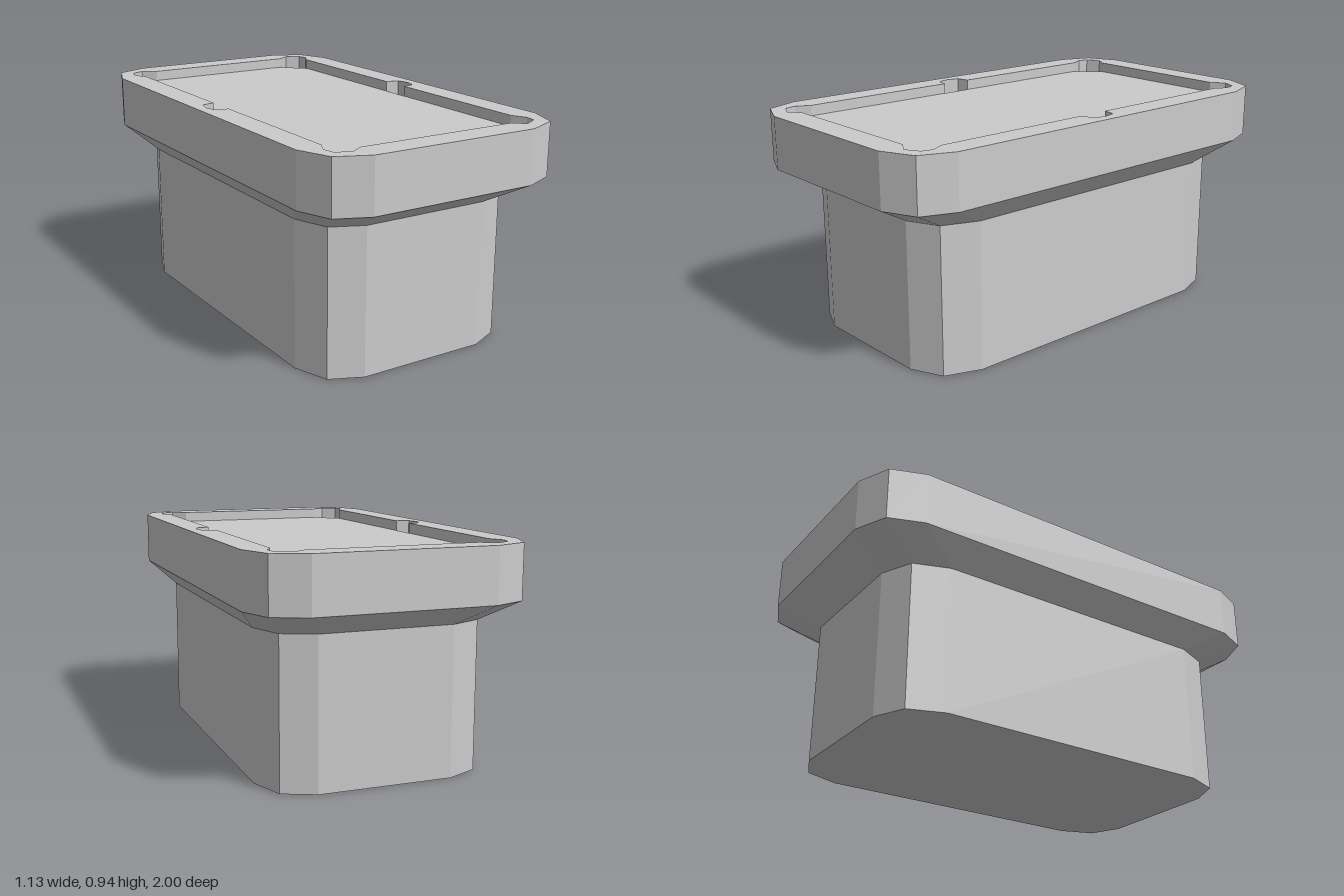
import * as THREE from 'three';

const material = new THREE.MeshStandardMaterial({ color: 0xcccccc, flatShading: true });

// Heights
const NECK = 0.62, RAIL = 0.715, TOP = 0.94, BED = 0.895, POCKET = 0.855;

// Plan points are [x, -z], anticlockwise seen from above.
// Completes a quarter outline (+x, +y quadrant) by mirroring; axis points are kept once.
function fullOutline(quarter) {
  const back = [...quarter].reverse();
  const all = [
    ...quarter,
    ...back.map(([x, y]) => [-x, y]),
    ...quarter.map(([x, y]) => [-x, -y]),
    ...back.map(([x, y]) => [x, -y]),
  ];
  return all.filter((p, i) => {
    const q = all[(i + 1) % all.length];
    return Math.hypot(p[0] - q[0], p[1] - q[1]) > 1e-6;
  });
}

// Mirrors a small polygon and keeps it anticlockwise
function mirrored(points, sx, sy) {
  const out = points.map(([x, y]) => [x * sx, y * sy]);
  return sx * sy < 0 ? out.reverse() : out;
}

// Wall between two matching outlines; faces outward when y0 < y1, inward otherwise
function wall(name, a, y0, b, y1) {
  const pos = [];
  const n = a.length;
  for (let i = 0; i < n; i++) {
    const j = (i + 1) % n;
    const p = [a[i][0], y0, -a[i][1]], q = [a[j][0], y0, -a[j][1]];
    const r = [b[j][0], y1, -b[j][1]], s = [b[i][0], y1, -b[i][1]];
    pos.push(...p, ...q, ...r, ...p, ...r, ...s);
  }
  const geometry = new THREE.BufferGeometry();
  geometry.setAttribute('position', new THREE.Float32BufferAttribute(pos, 3));
  geometry.computeVertexNormals();
  return named(name, geometry);
}

// Flat face at height y, optionally with a hole
function cap(name, outline, y, hole, down = false) {
  const toVectors = (pts) => pts.map(([x, v]) => new THREE.Vector2(x, v));
  const shape = new THREE.Shape(toVectors(outline));
  if (hole) shape.holes.push(new THREE.Path(toVectors(hole)));
  const geometry = new THREE.ShapeGeometry(shape);
  geometry.rotateX(down ? Math.PI / 2 : -Math.PI / 2).translate(0, y, 0);
  return named(name, geometry);
}

function named(name, geometry) {
  const mesh = new THREE.Mesh(geometry, material);
  mesh.name = name;
  return mesh;
}

export function createModel() {
  const group = new THREE.Group();
  group.name = 'poolTable';

  // Plan outlines
  const baseLine = fullOutline([[0.47, 0.62], [0.415, 0.77], [0.28, 0.83]]);
  const railLine = fullOutline([[0.565, 0.795], [0.51, 0.94], [0.37, 1.0]]);
  const sideHalf = [[0.52, 0], [0.507, 0.055], [0.45, 0.068]];
  const corner = [[0.45, 0.78], [0.48, 0.84], [0.47, 0.888], [0.41, 0.92], [0.35, 0.88]];
  const recessLine = fullOutline([...sideHalf, ...corner]);
  const bedLine = fullOutline([sideHalf[2], corner[0], corner[4]]);

  // Base, flared neck and rail
  group.add(
    cap('baseUnderside', baseLine, 0, null, true),
    wall('base', baseLine, 0, baseLine, NECK),
    wall('flare', baseLine, NECK, railLine, RAIL),
    wall('railSide', railLine, RAIL, railLine, TOP),
    cap('railTop', railLine, TOP, recessLine),
    wall('cushion', recessLine, TOP, recessLine, BED),
    cap('playingBed', bedLine, BED),
  );

  // Pockets: four corners and two sides
  const addPocket = (name, outline) => {
    const pocket = new THREE.Group();
    pocket.name = name;
    pocket.add(
      wall('pocketWall', outline, BED, outline, POCKET),
      cap('pocketFloor', outline, POCKET),
    );
    group.add(pocket);
  };
  const side = [...sideHalf.slice(1).reverse().map(([x, y]) => [x, -y]), ...sideHalf];
  for (const sx of [1, -1]) {
    addPocket('sidePocket', mirrored(side, sx, 1));
    for (const sy of [1, -1]) addPocket('cornerPocket', mirrored(corner, sx, sy));
  }
  return group;
}
